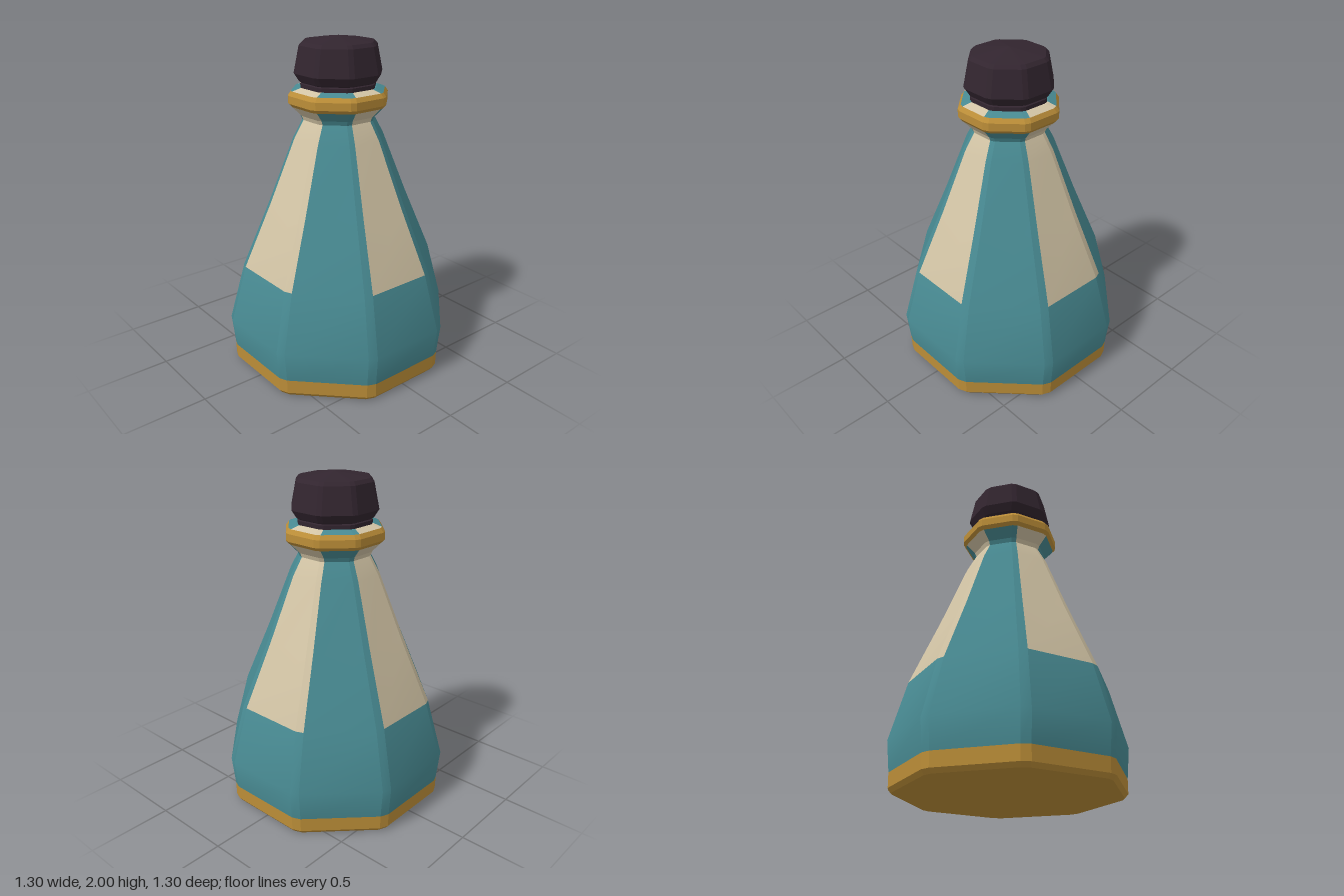
import * as THREE from 'three';

const flat = (name, color) => {
  const m = new THREE.MeshStandardMaterial({ color });
  m.name = name;
  return m;
};

// Point on an octagon with bevelled corners: 16 sides, even = wide face, odd = corner bevel.
function corner(apothem, index) {
  const i = (index + 16) % 16;
  const face = Math.floor(i / 2) * Math.PI / 4;
  const bevel = Math.min(0.01 + 0.03 * apothem, 0.2 * apothem);
  const half = (apothem * Math.tan(Math.PI / 8) - bevel) * (i % 2 ? 1 : -1);
  return [
    Math.sin(face) * apothem + Math.cos(face) * half,
    Math.cos(face) * apothem - Math.sin(face) * half,
  ];
}

// Lofts [apothem, y] rows. Sides stay crisp; rows blend unless a row is repeated.
function loft(name, rows, materials, pick = () => 0) {
  const pos = [];
  const faces = materials.map(() => []);
  for (let side = 0; side < 16; side++) {
    const start = pos.length / 3;
    rows.forEach(([a, y], r) => {
      for (const c of [side, side + 1]) {
        const [x, z] = corner(a, c);
        pos.push(x, y, z);
      }
      const next = rows[r + 1];
      if (!next || (next[0] === a && next[1] === y)) return;
      const v = start + r * 2;
      const list = faces[pick(side, y)];
      if (a > 0) list.push(v, v + 1, v + 3);
      if (next[0] > 0) list.push(v, v + 3, v + 2);
    });
  }
  const geo = new THREE.BufferGeometry();
  geo.setAttribute('position', new THREE.Float32BufferAttribute(pos, 3));
  geo.setIndex(faces.flat());
  let offset = 0;
  faces.forEach((list, m) => {
    geo.addGroup(offset, list.length, m);
    offset += list.length;
  });
  geo.computeVertexNormals();
  const mesh = new THREE.Mesh(geo, materials.length > 1 ? materials : materials[0]);
  mesh.name = name;
  return mesh;
}

// Repeats inner rows so every band is flat.
const crisp = (rows) => rows.flatMap((r, i) => (i && i < rows.length - 1 ? [r, r] : [r]));

export function createModel() {
  const teal = flat('teal glaze', 0x488a92);
  const cream = flat('cream panel', 0xd2c4a5);
  const gold = flat('gold trim', 0xbc8e38);
  const dark = flat('dark stopper', 0x32252f);

  // Cream panels cover four faces and some of their corner bevels
  const creamSides = new Set([0, 1, 4, 8, 9, 12, 13]);
  const panel = (side, y) => (y > 0.6 && creamSides.has(side) ? 1 : 0);

  const group = new THREE.Group();
  group.name = 'bottle';
  group.add(
    // Foot band with closed underside
    loft('footBand', crisp([[0, 0], [0.61, 0], [0.63, 0.025], [0.632, 0.11]]), [gold]),
    // Tapering body
    loft('body', [[0.632, 0.11], [0.65, 0.29], [0.56, 0.64], [0.4, 1.04],
      [0.258, 1.42], [0.205, 1.525]], [teal, cream], panel),
    // Flared neck below the collar
    loft('neck', crisp([[0.205, 1.525], [0.215, 1.55], [0.265, 1.605]]), [teal, cream], panel),
    // Collar ring
    loft('collar', crisp([[0.265, 1.605], [0.282, 1.625], [0.282, 1.67], [0.265, 1.695]]), [gold]),
    // Lip inside the collar
    loft('lip', crisp([[0.265, 1.695], [0.22, 1.712], [0.19, 1.712]]), [teal, cream], panel),
    // Stopper with stem, undercut and shallow pointed top
    loft('stopper', crisp([[0.213, 1.69], [0.213, 1.735], [0.205, 1.74], [0.22, 1.748],
      [0.248, 1.795], [0.218, 1.95], [0.2, 1.97], [0, 2]]), [dark]),
  );
  return group;
}
